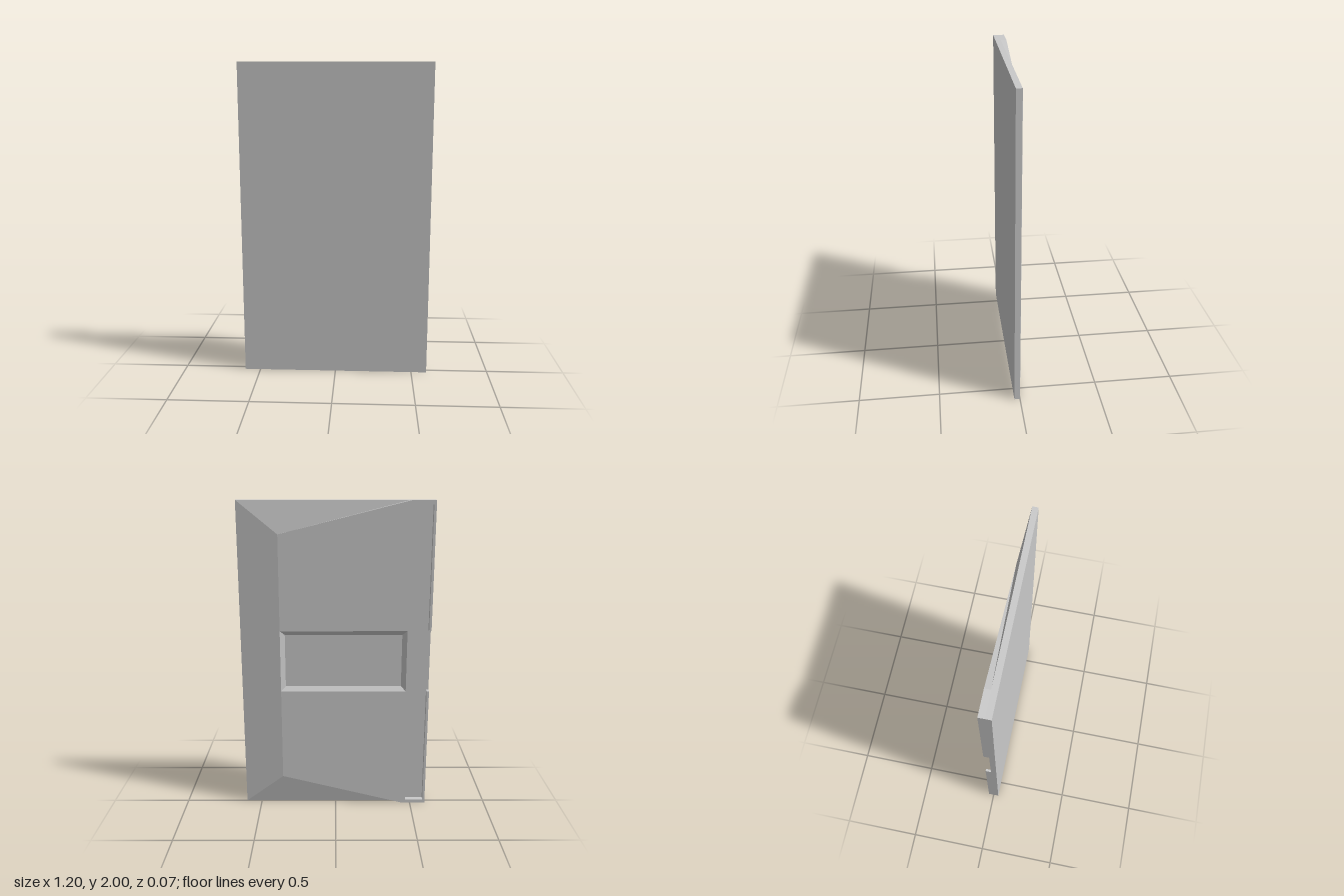
import * as THREE from 'three';

const T = 0.035; // thickness of each layer

// Flat-shaded faces from convex corner loops, anticlockwise seen from outside
function faces(loops) {
  const pos = [];
  for (const loop of loops)
    for (let i = 1; i < loop.length - 1; i++) pos.push(...loop[0], ...loop[i], ...loop[i + 1]);
  const g = new THREE.BufferGeometry();
  g.setAttribute('position', new THREE.Float32BufferAttribute(pos, 3));
  g.computeVertexNormals();
  return g;
}

// Adds the copy mirrored about mid-height
const withMirror = (loops) =>
  loops.concat(loops.map((l) => l.map(([x, y, z]) => [x, 2 - y, z]).reverse()));

export function createModel() {
  const model = new THREE.Group();
  model.name = 'panel';
  const grey = new THREE.MeshStandardMaterial({ color: 0xcacaca });
  grey.name = 'light grey';
  const add = (name, geometry) => {
    const mesh = new THREE.Mesh(geometry, grey);
    mesh.name = name;
    model.add(mesh);
    return mesh;
  };

  // Front slab
  add('frontSlab', new THREE.BoxGeometry(1.2, 2, T)).position.set(0, 1, T / 2);

  // Raised back: deck above and below the recess, with sloping borders
  const L = 0.35, R = -0.45;
  add('backDeck', faces(withMirror([
    [[L, 1.8, -T], [L, 1.2, -T], [R, 1.2, -T], [R, 2, -T]],
  ])));
  add('sideSlope', faces([
    [[0.6, 2, 0], [0.6, 0, 0], [L, 0.2, -T], [L, 1.8, -T]],
  ]));
  add('endSlopes', faces(withMirror([
    [[0.6, 2, 0], [L, 1.8, -T], [R, 2, 0]],
    [[L, 1.8, -T], [R, 2, -T], [R, 2, 0]],
  ])));

  // Label recess with bevelled walls
  const e = 0.03, F = -0.015;
  const rim = [[L, 1.2, -T], [L, 0.8, -T], [R, 0.8, -T], [R, 1.2, -T]];
  const floor = [[L - e, 1.2 - e, F], [L - e, 0.8 + e, F], [R + e, 0.8 + e, F], [R + e, 1.2 - e, F]];
  add('recessFloor', faces([floor]));
  add('recessWalls', faces(rim.map((p, i) => {
    const j = (i + 1) % 4;
    return [p, rim[j], floor[j], floor[i]];
  })));

  // Edge channel: thin frame, open in the middle of its outer side
  const frame = new THREE.Shape([
    [-0.6, 0], [R, 0], [R, 2], [-0.6, 2], [-0.6, 1.2], [-0.585, 1.2], [-0.585, 1.975],
    [-0.468, 1.975], [-0.468, 0.025], [-0.585, 0.025], [-0.585, 0.8], [-0.6, 0.8],
  ].map(([x, y]) => new THREE.Vector2(x, y)));
  add('channelFrame', new THREE.ExtrudeGeometry(frame, { depth: T, bevelEnabled: false }))
    .position.z = -T;

  return model;
}
